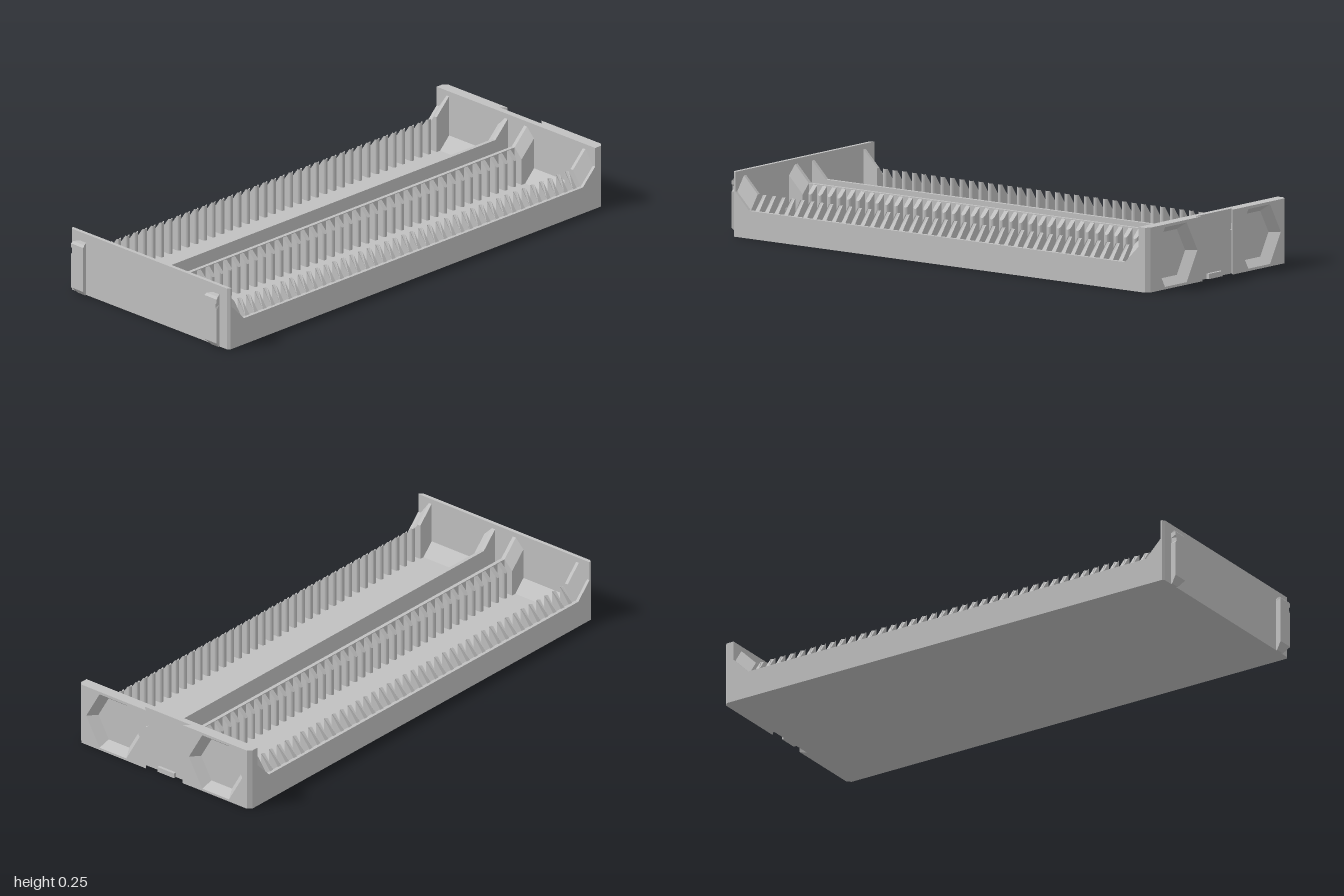
import * as THREE from 'three';
import { mergeGeometries } from 'three/addons/utils/BufferGeometryUtils.js';

// Faceted copy: unshared corners, flat normals
function facet(geo) {
  const g = geo.index ? geo.toNonIndexed() : geo.clone();
  g.deleteAttribute('uv');
  g.clearGroups();
  g.computeVertexNormals();
  return g;
}

// Mirrored copy along x or z with corner order restored
function mirror(geo, axis) {
  const g = facet(geo);
  g.scale(axis === 'x' ? -1 : 1, 1, axis === 'z' ? -1 : 1);
  const a = g.attributes.position;
  const p = new THREE.Vector3(), q = new THREE.Vector3();
  for (let i = 0; i < a.count; i += 3) {
    p.fromBufferAttribute(a, i + 1);
    q.fromBufferAttribute(a, i + 2);
    a.setXYZ(i + 1, q.x, q.y, q.z);
    a.setXYZ(i + 2, p.x, p.y, p.z);
  }
  g.computeVertexNormals();
  return g;
}

const shapeOf = pts => new THREE.Shape(pts.map(([x, y]) => new THREE.Vector2(x, y)));
const extrude = (shape, depth) =>
  new THREE.ExtrudeGeometry(shape, { depth, bevelEnabled: false, curveSegments: 6 });

// Prisms along z (points x,y), along x (points z,y) and along y (points x,z)
const prismZ = (pts, z0, z1) => extrude(shapeOf(pts), z1 - z0).translate(0, 0, z0);
const prismX = (pts, x0, x1) => extrude(shapeOf(pts), x1 - x0).rotateY(-Math.PI / 2).translate(x1, 0, 0);
const prismY = (pts, y0, y1) => extrude(shapeOf(pts), y1 - y0).rotateX(Math.PI / 2).translate(0, y1, 0);

function box(x0, x1, y0, y1, z0, z1) {
  return new THREE.BoxGeometry(x1 - x0, y1 - y0, z1 - z0)
    .translate((x0 + x1) / 2, (y0 + y1) / 2, (z0 + z1) / 2);
}

// Solid through four-cornered sections stacked upward
function loft(sections) {
  const pos = sections.flat(2), idx = [], n = 4, last = (sections.length - 1) * n;
  for (let s = 0; s < sections.length - 1; s++)
    for (let i = 0; i < n; i++) {
      const a = s * n + i, b = s * n + (i + 1) % n;
      idx.push(a, b, b + n, a, b + n, a + n);
    }
  idx.push(0, 2, 1, 0, 3, 2, last, last + 1, last + 2, last, last + 2, last + 3);
  const g = new THREE.BufferGeometry();
  g.setAttribute('position', new THREE.Float32BufferAttribute(pos, 3));
  g.setIndex(idx);
  return g;
}

// Upright rib with one rounded end; its top follows a height rule
function rib(xRoot, xTip, height) {
  const r = 0.0095, dir = Math.sign(xTip - xRoot), xc = xTip - dir * r, pts = [[xRoot, -r]];
  for (let i = 0; i <= 6; i++) {
    const t = -Math.PI / 2 + Math.PI * i / 6;
    pts.push([xc + dir * r * Math.cos(t), r * Math.sin(t)]);
  }
  pts.push([xRoot, r]);
  const g = prismY(pts, 0.01, 0.16), a = g.attributes.position;
  for (let i = 0; i < a.count; i++) if (a.getY(i) > 0.1) a.setY(i, height(a.getX(i)));
  return g;
}

// Corner support rising at 45 degrees toward the end plate
function gusset(pts) {
  const g = prismZ(pts, 0.89, 0.957), a = g.attributes.position;
  for (let i = 0; i < a.count; i++)
    if (a.getY(i) > 0.05 && a.getZ(i) > 0.92) a.setY(i, a.getY(i) + 0.067);
  return g;
}

export function createModel() {
  const group = new THREE.Group();
  const grey = new THREE.MeshStandardMaterial({ color: 0xc0c0c0 });
  grey.name = 'plain grey';

  const add = (name, geos) => {
    const mesh = new THREE.Mesh(mergeGeometries(geos.map(facet)), grey);
    mesh.name = name;
    group.add(mesh);
  };
  const pair = g => [g, mirror(g, 'x')];
  const four = g => pair(g).flatMap(h => [h, mirror(h, 'z')]);

  // Tray base and long walls
  add('floor', [box(-0.417, 0.417, 0, 0.02, -0.96, 0.96)]);
  add('sideWalls', pair(box(0.402, 0.417, 0, 0.105, -0.96, 0.96)));
  add('centreWalls', pair(box(0.043, 0.058, 0.01, 0.16, -0.957, 0.957)));

  // Rows of slotting ribs
  const outer = rib(0.405, 0.355, x => x > 0.37 ? 0.105 : 0.16);
  const inner = rib(0.055, 0.092, x => 0.16 - (x - 0.055) * 0.95);
  const sideRibs = [], centreRibs = [];
  for (let i = 0; i < 39; i++) {
    const z = -0.86 + i * 1.72 / 38;
    sideRibs.push(...pair(outer.clone().translate(0, 0, z)));
    centreRibs.push(...pair(inner.clone().translate(0, 0, z)));
  }
  add('sideRibs', sideRibs);
  add('centreRibs', centreRibs);

  // Supports at the ends of the walls
  add('sideGussets', four(gusset([[0.417, 0], [0.417, 0.105], [0.405, 0.105],
    [0.365, 0.16], [0.352, 0.16], [0.352, 0]])));
  add('centreGussets', four(gusset([[0.043, 0.01], [0.043, 0.16], [0.058, 0.16],
    [0.095, 0.123], [0.095, 0.01]])));

  // Sloped fillets between floor and end plates
  const ramp = prismX([[0.908, 0.02], [0.957, 0.02], [0.957, 0.07]], -0.405, 0.405);
  add('endRamps', [ramp, mirror(ramp, 'z')]);

  // Front plate with chamfered upright edges
  add('frontPlate', [prismY([[-0.417, 0.955], [0.417, 0.955], [0.417, 0.962],
    [0.407, 0.97], [-0.407, 0.97], [-0.417, 0.962]], 0, 0.245)]);

  // Dovetail hooks on the front, notched on the outer edge
  const hookSections = [
    [0, 0.332, 0.37, 0.976], [0.025, 0.319, 0.383, 1], [0.16, 0.319, 0.383, 1],
    [0.168, 0.319, 0.376, 1], [0.181, 0.319, 0.376, 1], [0.189, 0.319, 0.383, 1],
    [0.202, 0.319, 0.383, 1], [0.21, 0.321, 0.381, 0.992],
  ].map(([y, x0, x1, z]) => [[0.335, y, 0.968], [x0, y, z], [x1, y, z], [0.366, y, 0.968]]);
  add('frontHooks', pair(loft(hookSections)));

  // Back plate: inner slab, slot bed, and two panels with hexagonal pockets
  const panel = shapeOf([[0.11, 0], [0.402, 0], [0.402, 0.245], [0.11, 0.245]]);
  const hex = [];
  for (let i = 0; i < 6; i++) {
    const t = i * Math.PI / 3;
    hex.push(new THREE.Vector2(0.25 + 0.13 * Math.cos(t), 0.122 + 0.13 * Math.sin(t)));
  }
  panel.holes.push(new THREE.Path(hex));
  add('backPlate', [
    box(-0.417, 0.417, 0, 0.245, -0.965, -0.955),
    box(-0.11, 0.11, 0, 0.245, -0.98, -0.965),
    ...pair(extrude(panel, 0.035).translate(0, 0, -1)),
    ...pair(prismY([[0.402, -0.965], [0.417, -0.965], [0.417, -0.985], [0.402, -1]], 0, 0.245)),
    ...pair(prismY([[0.09, -1], [0.112, -1], [0.112, -0.98]], 0, 0.245)),
  ]);

  // Flared pocket walls, facing inward
  const flare = new THREE.CylinderGeometry(0.1, 0.13, 0.035, 6, 1, true)
    .rotateY(Math.PI / 6).rotateX(Math.PI / 2).translate(0.25, 0.122, -0.9825);
  flare.index.array.reverse();
  add('hexPockets', pair(flare));

  // Stop and small catches inside the rear slot
  add('slotStop', [box(-0.04, 0.04, 0, 0.02, -0.992, -0.975)]);
  add('slotCatches', pair(loft([
    [0.166, 0.1], [0.174, 0.088], [0.182, 0.088], [0.19, 0.1],
  ].map(([y, x]) => [[x, y, -0.978], [0.106, y, -0.978], [0.106, y, -0.99], [x, y, -0.99]].reverse()))));

  return group;
}
